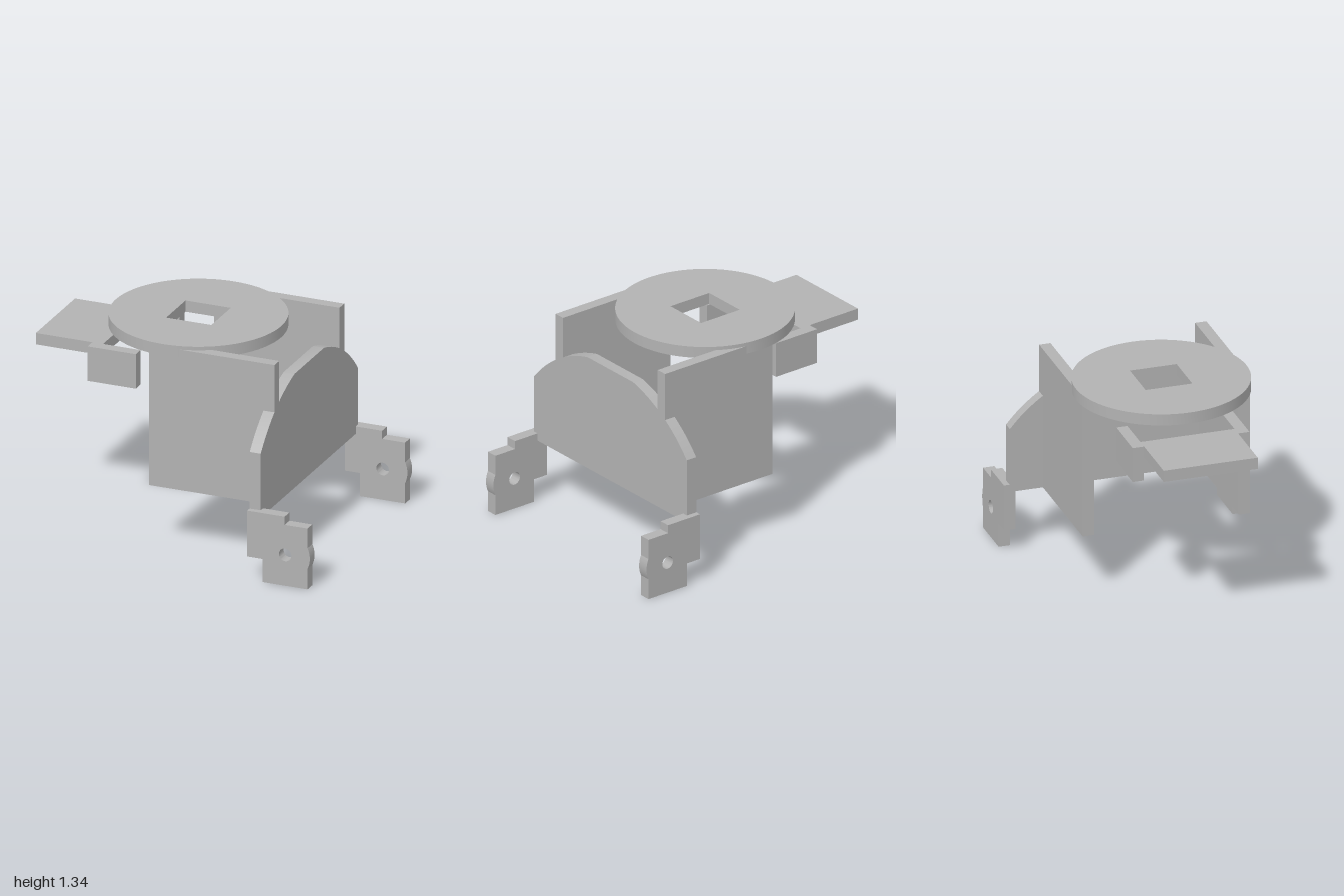
import * as THREE from 'three';
import { toCreasedNormals } from 'three/addons/utils/BufferGeometryUtils.js';

const T = 0.072; // sheet thickness

export function createModel() {
  const group = new THREE.Group();
  const grey = new THREE.MeshStandardMaterial({ color: 0xb2b2b2 });
  grey.name = 'plain grey';

  const add = (name, geometry, x = 0, y = 0, z = 0) => {
    const mesh = new THREE.Mesh(geometry, grey);
    mesh.name = name;
    mesh.position.set(x, y, z);
    group.add(mesh);
    return mesh;
  };
  const box = (name, x0, x1, y0, y1, z0, z1) =>
    add(name, new THREE.BoxGeometry(x1 - x0, y1 - y0, z1 - z0),
      (x0 + x1) / 2, (y0 + y1) / 2, (z0 + z1) / 2);
  const extrude = (shape, depth, curveSegments) =>
    new THREE.ExtrudeGeometry(shape, { depth, curveSegments, bevelEnabled: false });

  // Round top plate with a square opening
  const disc = new THREE.Shape().absarc(0, 0, 0.541, 0, Math.PI * 2);
  const h = 0.148;
  disc.holes.push(new THREE.Path([
    new THREE.Vector2(-h, -h), new THREE.Vector2(-h, h),
    new THREE.Vector2(h, h), new THREE.Vector2(h, -h),
  ]));
  add('topDisc', toCreasedNormals(extrude(disc, 0.073, 64).rotateX(-Math.PI / 2), 0.6), -0.064, 1.262, 0);

  // Upright end panel: straight sides, arched shoulders, flat crown
  const panel = new THREE.Shape();
  panel.moveTo(-0.742, 0.4);
  panel.lineTo(0.742, 0.4);
  panel.absarc(0, 0.21, 0.956, 0.685, 1.338);
  panel.absarc(0, 0.21, 0.956, Math.PI - 1.338, Math.PI - 0.685);
  panel.closePath();
  add('endPanel', toCreasedNormals(extrude(panel, T, 16).rotateY(Math.PI / 2), 0.25), 0.59, 0, 0);

  // Stepped mounting ear with a pin hole and a small rounded bulge
  const ear = new THREE.Shape();
  const a = 0.43;
  ear.moveTo(0.59, 0.15);
  ear.lineTo(0.69, 0.15);
  ear.lineTo(0.69, 0);
  ear.lineTo(0.985, 0);
  ear.absarc(0.838, 0.2, 0.162, -a, a);
  ear.lineTo(0.985, 0.395);
  ear.lineTo(0.835, 0.395);
  ear.lineTo(0.835, 0.448);
  ear.lineTo(0.59, 0.448);
  ear.closePath();
  ear.holes.push(new THREE.Path().absarc(0.838, 0.2, 0.041, 0, Math.PI * 2, true));
  const earGeometry = toCreasedNormals(extrude(ear, T, 24), 0.35);

  for (const s of [1, -1]) {
    const side = s > 0 ? 'front' : 'back';
    const span = (z) => (s > 0 ? [z, z + T] : [-z - T, -z]);
    box(side + 'SidePlate', -0.16, 0.662, 0.4, 1.312, ...span(0.459));
    box(side + 'TongueBracket', -0.63, -0.315, 0.94, 1.164, ...span(0.298));
    add(side + 'MountingEar', earGeometry, 0, 0, span(0.706)[0]);
  }

  // Flat tongue held between the two brackets
  box('tongue', -1, -0.56, 1.09, 1.164, -0.298, 0.298);

  return group;
}
